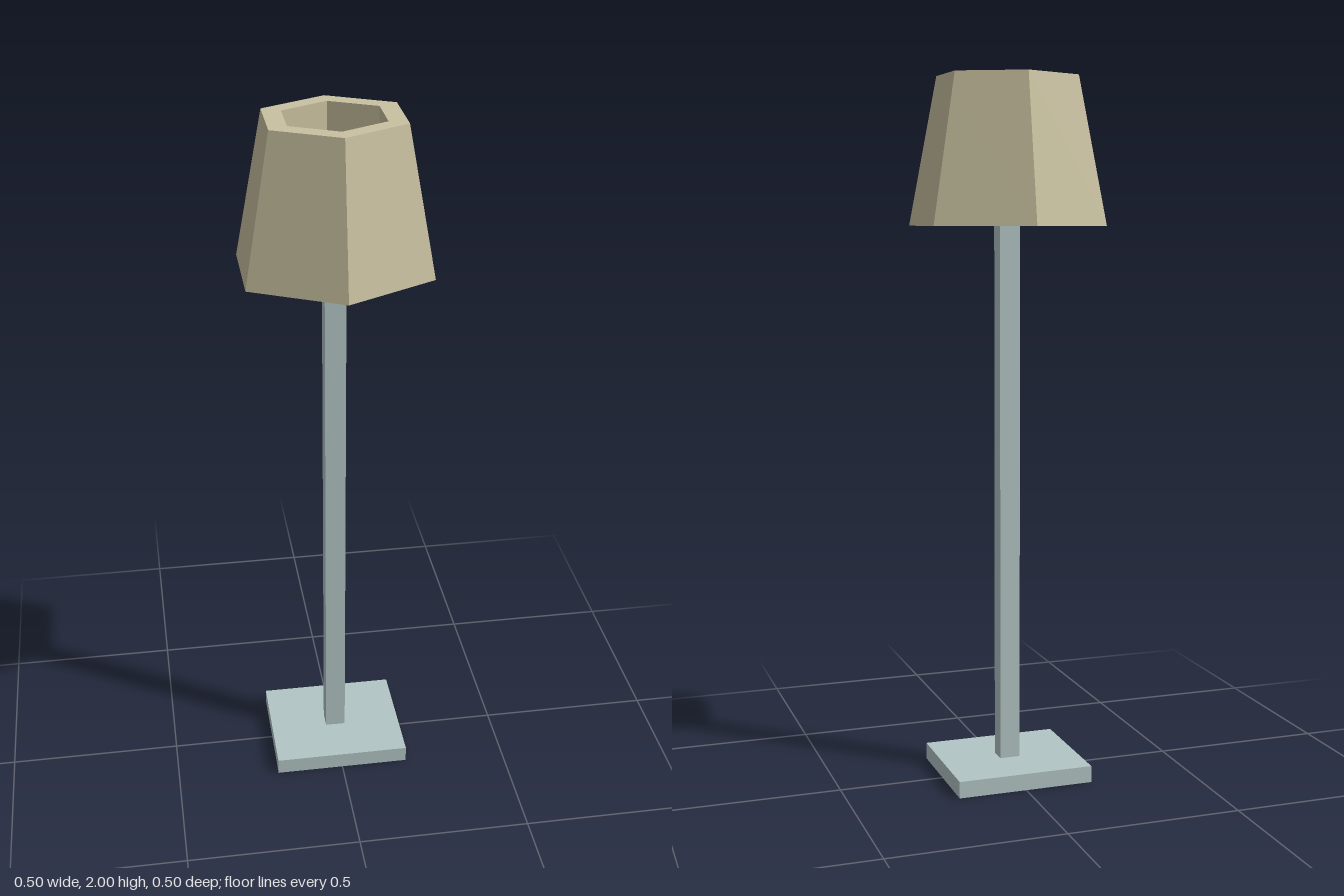
import * as THREE from 'three';

export function createModel() {
  const lamp = new THREE.Group();
  lamp.name = 'floorLamp';

  const metal = new THREE.MeshStandardMaterial({ color: 0xb3c5c5 });
  metal.name = 'paleMetal';
  const fabric = new THREE.MeshStandardMaterial({ color: 0xc9c1a0, flatShading: true });
  fabric.name = 'beigeFabric';

  const add = (name, geometry, material) => {
    const mesh = new THREE.Mesh(geometry, material);
    mesh.name = name;
    lamp.add(mesh);
  };

  // Box standing on height y0 and reaching y1
  const post = (width, depth, y0, y1) =>
    new THREE.BoxGeometry(width, y1 - y0, depth).translate(0, (y0 + y1) / 2, 0);

  // Flat foot and the pole, which ends inside the shade
  add('base', post(0.396, 0.342, 0, 0.048), metal);
  add('pole', post(0.059, 0.052, 0.048, 1.72), metal);

  // Thick six-sided shade: tapered outside, straight hole through the middle
  const profile = [
    [0.128, 1.588], [0.25, 1.588], [0.178, 2], [0.128, 2], [0.128, 1.588],
  ].map(([r, y]) => new THREE.Vector2(r, y));
  const shade = new THREE.LatheGeometry(profile, 6);
  // Widen the hexagon so it is as wide as it is deep
  shade.scale(1 / Math.sin(Math.PI / 3), 1, 1);
  add('shade', shade, fabric);

  return lamp;
}
